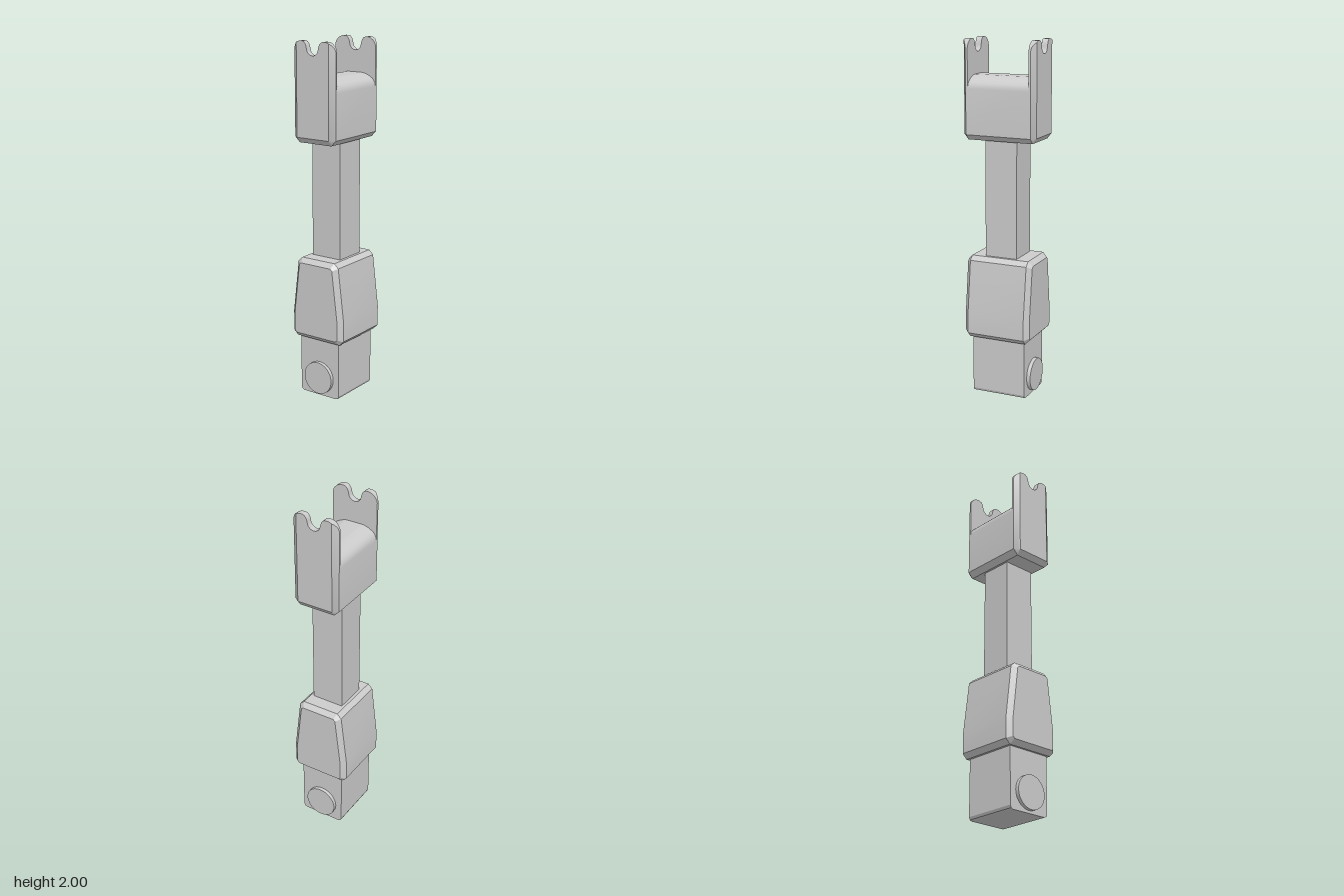
import * as THREE from 'three';
import { toCreasedNormals } from 'three/addons/utils/BufferGeometryUtils.js';

const material = new THREE.MeshStandardMaterial({ color: 0xcccccc });

function addMesh(parent, name, geometry, x = 0, y = 0, z = 0) {
  const mesh = new THREE.Mesh(geometry, material);
  mesh.name = name;
  mesh.position.set(x, y, z);
  parent.add(mesh);
  return mesh;
}

// Extrudes a side profile, given as [z, y] for the +z half from bottom to top, across x.
function sideExtrude(half, halfWidth, bevel = 0) {
  const points = [...half, ...half.map(([z, y]) => [-z, y]).reverse()];
  const shape = new THREE.Shape(points.map(([z, y]) => new THREE.Vector2(z, y)));
  const depth = 2 * (halfWidth - bevel);
  const geometry = new THREE.ExtrudeGeometry(shape, {
    depth, bevelEnabled: bevel > 0, bevelSegments: 1,
    bevelSize: bevel, bevelThickness: bevel, bevelOffset: -bevel,
  });
  geometry.translate(0, 0, -depth / 2).rotateY(-Math.PI / 2);
  return toCreasedNormals(geometry, 0.3);
}

// Fork: U-shaped cross-sections joined along z, with a notch in the cheek tops.
function forkGeometry() {
  const inner = 0.178, outer = 0.213, chamfer = 0.03, depth = 0.135, base = 1.455;

  // Half profile: z, height of the cheeks, height of the saddle between them.
  const half = [
    [0, 1.925, 1.805], [0.012, 1.927, 1.805], [0.024, 1.934, 1.805],
    [0.033, 1.944, 1.805], [0.037, 1.957, 1.805], [0.040, 1.972, 1.805],
    [0.046, 1.986, 1.805], [0.055, 1.996, 1.804], [0.066, 2, 1.801],
    [0.085, 2, 1.795], [0.096, 1.997, 1.789], [0.105, 1.993, 1.784],
    [0.115, 1.986, 1.777], [0.124, 1.976, 1.767], [0.131, 1.965, 1.754],
    [0.135, 1.95, 1.735],
  ];
  const rows = [...half.slice(1).reverse().map(([z, t, m]) => [-z, t, m]), ...half];
  const sections = rows.map(([z, top, saddle]) => {
    const cut = Math.max(0, Math.abs(z) - (depth - chamfer));
    const side = outer - cut * 0.77, low = base + cut;
    const foot = outer - chamfer * 0.77, knee = base + chamfer;
    return [
      [-foot, low], [foot, low], [side, knee], [side, top], [inner, top],
      [inner, saddle], [-inner, saddle], [-inner, top], [-side, top], [-side, knee],
    ].map(([x, y]) => [x, y, z]);
  });

  const count = sections[0].length, last = sections.length - 1, index = [];
  for (let k = 0; k < last; k++) {
    for (let i = 0; i < count; i++) {
      const j = (i + 1) % count;
      const a = k * count + i, b = k * count + j;
      index.push(a, b, b + count, a, b + count, a + count);
    }
  }
  // End faces
  const caps = [[0, 1, 5], [0, 5, 6], [1, 3, 4], [1, 4, 5], [0, 6, 7], [0, 7, 8]];
  for (const [a, b, c] of caps) {
    const e = last * count;
    index.push(e + a, e + b, e + c, c, b, a);
  }

  const geometry = new THREE.BufferGeometry();
  geometry.setAttribute('position', new THREE.Float32BufferAttribute(sections.flat(2), 3));
  geometry.setIndex(index);
  return toCreasedNormals(geometry, 0.6);
}

export function createModel() {
  const model = new THREE.Group();
  model.name = 'forkedArm';

  // Foot block with softened lower edges
  addMesh(model, 'footBlock', sideExtrude(
    [[0.112, 0], [0.125, 0.006], [0.131, 0.02], [0.131, 0.35]], 0.157));

  // Pivot pins on both sides of the foot
  for (const side of [-1, 1]) {
    const pin = new THREE.CylinderGeometry(0.093, 0.093, 0.04, 48).rotateZ(Math.PI / 2);
    addMesh(model, side > 0 ? 'leftPivotPin' : 'rightPivotPin', pin, side * 0.158, 0.108, 0);
  }

  // Tapered, chamfered collar
  addMesh(model, 'collar', sideExtrude(
    [[0.145, 0.335], [0.172, 0.362], [0.172, 0.48], [0.136, 0.778], [0.11, 0.803]],
    0.195, 0.026));

  // Square shaft
  addMesh(model, 'shaft', new THREE.BoxGeometry(0.187, 0.7, 0.187), 0, 1.13, 0);

  // Notched fork head
  addMesh(model, 'forkHead', forkGeometry());

  return model;
}
